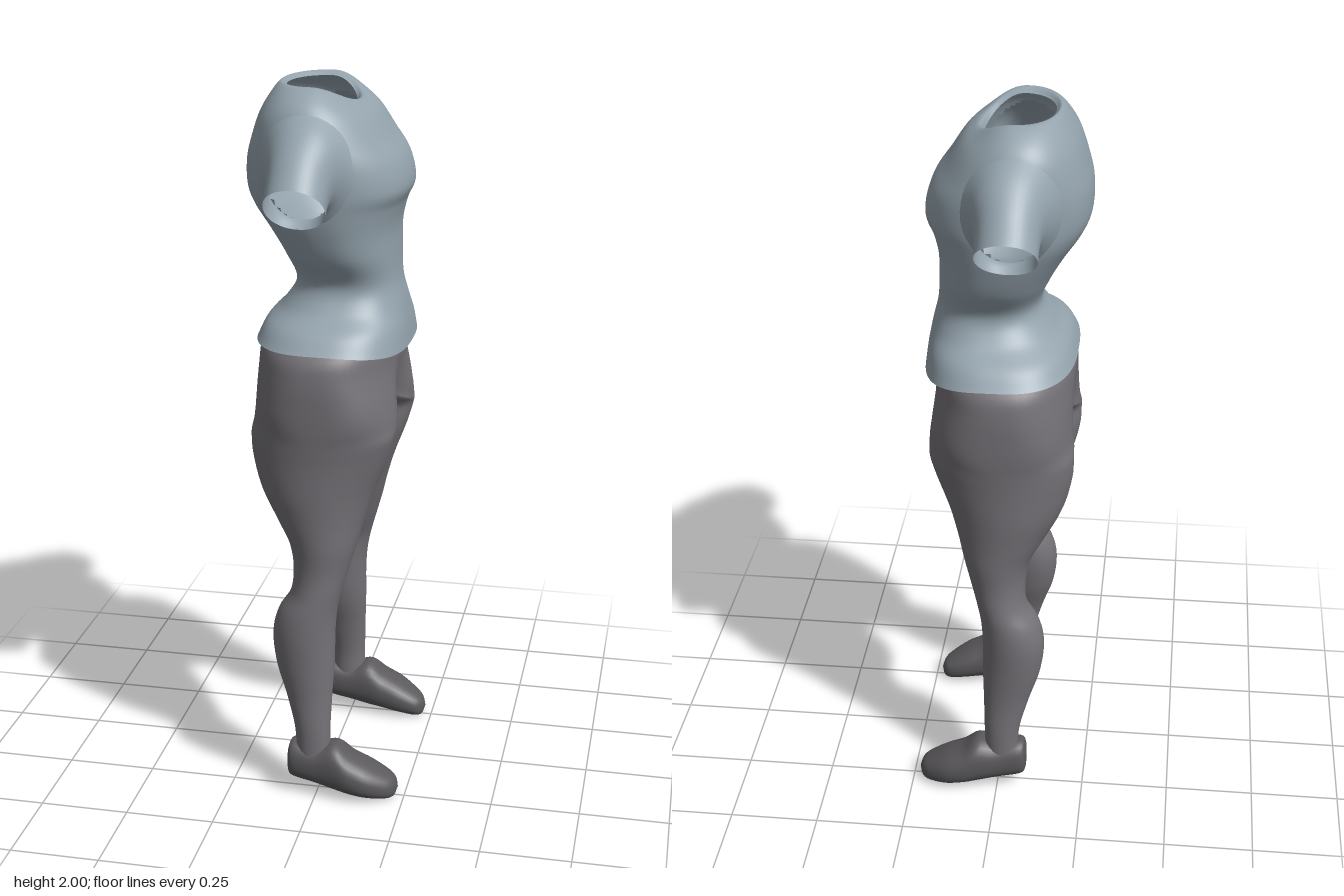
import * as THREE from 'three';

const paint = (name, color) => {
  const m = new THREE.MeshStandardMaterial({ color, side: THREE.DoubleSide });
  m.name = name;
  return m;
};

// Smoothly resample a short table of section measurements.
function resample(rows, count, keys = rows.map((_, i) => i)) {
  const curve = new THREE.CubicInterpolant(keys, rows.flat(), rows[0].length);
  const first = keys[0], last = keys[keys.length - 1];
  return Array.from({ length: count + 1 }, (_, i) =>
    Array.from(curve.evaluate(first + (last - first) * Math.min(i / count, 0.99999))));
}

// Rounded cosine and sine; power 2 is an ellipse, higher is boxier.
function round(a, power) {
  const f = v => Math.sign(v) * Math.pow(Math.abs(v), 2 / power);
  return [f(Math.cos(a)), f(Math.sin(a))];
}

const ring = (sides, point) =>
  Array.from({ length: sides }, (_, i) => point((i / sides) * Math.PI * 2));

// Skin closed rings of [x, y, z] points; skip() leaves holes.
function loft(rings, skip = () => false) {
  const n = rings[0].length, index = [];
  for (let r = 0; r < rings.length - 1; r++) {
    for (let i = 0; i < n; i++) {
      const j = (i + 1) % n;
      if (skip([rings[r][i], rings[r][j], rings[r + 1][i], rings[r + 1][j]])) continue;
      const a = r * n + i, b = r * n + j;
      index.push(a, a + n, b, b, a + n, b + n);
    }
  }
  const g = new THREE.BufferGeometry();
  g.setAttribute('position', new THREE.Float32BufferAttribute(rings.flat(2), 3));
  g.setIndex(index);
  g.computeVertexNormals();
  return g;
}

// Shirt sections from hem to neckline: y, back x, front x, half width, front drop, boxiness
const SHIRT = [
  [1.315, -0.2, 0.215, 0.305, 0.025, 2.7], [1.36, -0.178, 0.208, 0.268, 0.012, 2.6],
  [1.405, -0.135, 0.197, 0.205, 0, 2.5], [1.47, -0.1, 0.182, 0.175, 0, 2.5],
  [1.55, -0.13, 0.177, 0.22, 0, 2.4], [1.62, -0.17, 0.178, 0.245, 0, 2.4],
  [1.68, -0.21, 0.192, 0.26, 0, 2.4], [1.73, -0.23, 0.211, 0.266, 0, 2.4],
  [1.8, -0.23, 0.195, 0.27, 0, 2.4], [1.86, -0.215, 0.155, 0.268, 0, 2.4],
  [1.92, -0.195, 0.115, 0.255, 0, 2.3], [1.965, -0.17, 0.085, 0.222, 0.02, 2.2],
  [1.997, -0.145, 0.066, 0.165, 0.047, 2.1], [1.987, -0.13, 0.055, 0.13, 0.052, 2],
];
const ARM = { x: -0.035, y: 1.795 };

function shirtBody() {
  const rings = resample(SHIRT, 90).map(([y, xb, xf, w, drop, power]) => ring(88, a => {
    const [c, s] = round(a, power);
    return [(xb + xf) / 2 + c * (xf - xb) / 2, y - drop * Math.max(0, c) ** 2, s * w];
  }));
  // armholes, hidden inside the sleeve roots
  const inArmhole = ([x, y, z]) =>
    Math.abs(z) > 0.17 && ((x - ARM.x) / 0.115) ** 2 + ((y - ARM.y) / 0.135) ** 2 < 1;
  return loft(rings, quad => quad.every(inArmhole));
}

// Short sleeve that starts on the surface of the shirt and narrows to the cuff
function sleeve() {
  const sides = 40;
  const rows = SHIRT.slice(0, -1);
  const side = new THREE.CubicInterpolant(rows.map(r => r[0]), rows.flat(), 6);
  const root = ring(sides, a => {
    const x = ARM.x + 0.13 * Math.cos(a), y = ARM.y + 0.146 * Math.sin(a);
    const [, xb, xf, w, , power] = side.evaluate(y);
    const off = Math.min(1, Math.abs((2 * x - xb - xf) / (xf - xb)));
    return [x, y, w * (1 - off ** power) ** (1 / power) - 0.001];
  });
  // top z, top y, bottom z, bottom y, back x, front x
  const outer = [
    [0.3, 1.905, 0.268, 1.672, -0.13, 0.066], [0.36, 1.85, 0.284, 1.674, -0.118, 0.05],
    [0.418, 1.78, 0.31, 1.657, -0.115, 0.046],
  ].map(([tz, ty, bz, by, xb, xf]) => ring(sides, a => {
    const [c, s] = round(a, 2.1);
    return [
      (xb + xf) / 2 + c * (xf - xb) / 2,
      (ty + by) / 2 + s * (ty - by) / 2,
      (tz + bz) / 2 + s * (tz - bz) / 2,
    ];
  }));
  return loft(resample([root, ...outer].map(r => r.flat()), 20).map(flat =>
    Array.from({ length: sides }, (_, i) => flat.slice(i * 3, i * 3 + 3))));
}

// Leg joined to half the hips: y, back x, front x, inner z, outer z, hip blend
function trouserHalf() {
  const rows = [
    [0.13, -0.06, 0.037, 0.22, 0.308, 0], [0.2, -0.064, 0.037, 0.22, 0.308, 0],
    [0.3, -0.09, 0.04, 0.2, 0.305, 0], [0.4, -0.122, 0.044, 0.167, 0.31, 0],
    [0.5, -0.13, 0.045, 0.148, 0.315, 0], [0.56, -0.113, 0.05, 0.146, 0.312, 0],
    [0.61, -0.082, 0.06, 0.148, 0.304, 0], [0.68, -0.076, 0.08, 0.123, 0.296, 0],
    [0.75, -0.09, 0.1, 0.095, 0.298, 0], [0.82, -0.13, 0.118, 0.058, 0.3, 0],
    [0.9, -0.174, 0.143, 0.02, 0.304, 0], [1.0, -0.2, 0.18, 0.011, 0.306, 0],
    [1.06, -0.202, 0.196, 0.018, 0.31, 0], [1.1, -0.202, 0.202, 0.01, 0.313, 0.6],
    [1.15, -0.201, 0.199, 0, 0.315, 0.97], [1.24, -0.198, 0.188, 0, 0.314, 1],
    [1.29, -0.194, 0.187, 0, 0.304, 1], [1.325, -0.186, 0.188, 0, 0.28, 1],
  ];
  const rings = resample(rows, 96, rows.map(r => r[0])).map(([y, xb, xf, zi, zo, t]) => {
    const blend = t > 0.985 ? 1 : Math.max(0, t);
    // soft hollow along the midline that fades out below the waist
    const hollow = 0.3 * THREE.MathUtils.smoothstep(1.28 - y, 0, 0.2);
    const boxiness = 2.4 + 0.6 * THREE.MathUtils.smoothstep(1.28 - y, 0, 0.18);
    return ring(56, a => {
      const [legC, legS] = round(a, 2), [hipC, hipS] = round(a, boxiness);
      const c = THREE.MathUtils.lerp(legC, hipC, blend);
      const legZ = (zi + zo) / 2 + legS * (zo - zi) / 2;
      const z = THREE.MathUtils.lerp(legZ, Math.max(0, hipS) * zo, blend);
      const dent = 1 - hollow * Math.exp(-((z / 0.07) ** 2));
      return [(xb + xf) / 2 + c * dent * (xf - xb) / 2, y, z < 0.002 ? 0 : z];
    });
  });
  const g = loft(rings, quad => quad.every(p => p[2] === 0));
  // keep shading continuous where the two halves meet
  const p = g.attributes.position, n = g.attributes.normal, v = new THREE.Vector3();
  for (let i = 0; i < p.count; i++) {
    if (p.getZ(i) > 0) continue;
    v.fromBufferAttribute(n, i).setZ(0).normalize();
    n.setXYZ(i, v.x, v.y, v.z);
  }
  return g;
}

// Slip-on shoe from heel to toe: x, bottom y, top y, inner z, outer z
function shoe() {
  const rows = [
    [-0.085, 0.085, 0.1, 0.255, 0.265], [-0.082, 0.056, 0.14, 0.228, 0.292],
    [-0.066, 0.044, 0.158, 0.214, 0.308], [0, 0.032, 0.15, 0.208, 0.318],
    [0.055, 0.02, 0.162, 0.201, 0.33], [0.1, 0.014, 0.13, 0.198, 0.337],
    [0.15, 0.007, 0.105, 0.197, 0.332], [0.2, 0.002, 0.074, 0.205, 0.306],
    [0.222, 0.006, 0.056, 0.222, 0.282], [0.231, 0.028, 0.032, 0.246, 0.256],
  ];
  return loft(resample(rows, 40).map(([x, yb, yt, zi, zo]) => ring(28, a => {
    const [c, s] = round(a, 2.4);
    return [x, (yb + yt) / 2 + s * (yt - yb) / 2, (zi + zo) / 2 + c * (zo - zi) / 2];
  })));
}

export function createModel() {
  const model = new THREE.Group();
  model.name = 'outfit';
  const shirt = paint('shirtBlueGrey', 0x94a3ad);
  const trousers = paint('trouserGrey', 0x757277);
  const leather = paint('shoeDarkGrey', 0x5b595c);

  const add = (name, geometry, material, side = 1) => {
    const mesh = new THREE.Mesh(geometry, material);
    mesh.name = name;
    mesh.scale.z = side;
    model.add(mesh);
  };

  add('shirtBody', shirtBody(), shirt);
  const pairs = [
    ['sleeve', sleeve(), shirt],
    ['trouserHalf', trouserHalf(), trousers],
    ['shoe', shoe(), leather],
  ];
  // mirrored parts on either side of the body
  for (const [name, geometry, material] of pairs) {
    add(name + 'Front', geometry, material, 1);
    add(name + 'Back', geometry, material, -1);
  }
  return model;
}
